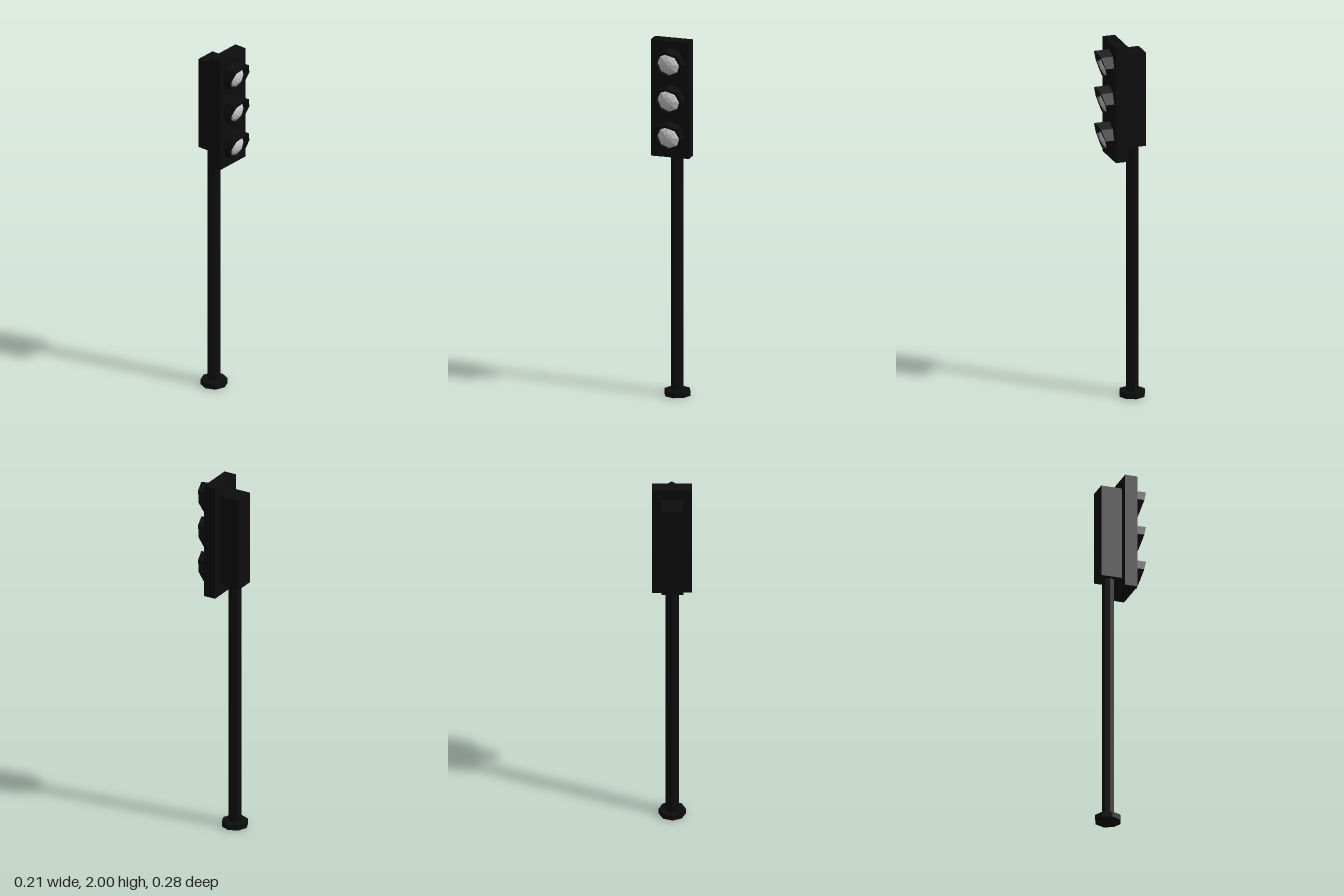
import * as THREE from 'three';

const dark = new THREE.MeshStandardMaterial({ color: 0x0d0d0d, flatShading: true });
const glass = new THREE.MeshStandardMaterial({ color: 0xcccccc, flatShading: true });

const POLE_Z = -0.069;
const LAMP_RADIUS = 0.082;
const PLATE_FRONT = 0.06;

function part(name, geometry, material, x, y, z) {
  const mesh = new THREE.Mesh(geometry, material);
  mesh.name = name;
  mesh.position.set(x, y, z);
  return mesh;
}

// Eight-sided tube whose front rim reaches furthest at the top
function hoodGeometry() {
  const inner = 0.067;
  const profile = [[LAMP_RADIUS, 0], [LAMP_RADIUS, 1], [inner, 1], [inner, 0]]
    .map(([r, h]) => new THREE.Vector2(r, h));
  const geometry = new THREE.LatheGeometry(profile, 8).rotateX(Math.PI / 2);
  const reach = [0.08, 0.065, 0.047, 0.031, 0.031]; // from top to bottom
  const p = geometry.attributes.position;
  for (let i = 0; i < p.count; i++) {
    if (p.getZ(i) < 0.5) continue;
    const angle = Math.atan2(Math.abs(p.getX(i)), p.getY(i));
    p.setZ(i, reach[Math.round(angle / (Math.PI / 4))]);
  }
  geometry.computeVertexNormals();
  return geometry;
}

// Shallow faceted dome facing forward
function lensGeometry() {
  return new THREE.SphereGeometry(0.067, 8, 4, 0, Math.PI * 2, 0, Math.PI / 2)
    .rotateX(Math.PI / 2)
    .scale(1, 1, 0.7);
}

export function createModel() {
  const model = new THREE.Group();
  model.name = 'trafficLight';

  // Foot and pole
  model.add(part('baseFoot', new THREE.CylinderGeometry(0.072, 0.072, 0.03, 8), dark, 0, 0.015, POLE_Z));
  model.add(part('pole', new THREE.CylinderGeometry(0.035, 0.035, 1.42, 8), dark, 0, 0.71, POLE_Z));

  // Signal head: rear housing and wider front plate
  model.add(part('rearHousing', new THREE.BoxGeometry(0.116, 0.525, 0.118), dark, 0, 1.6775, -0.068));
  model.add(part('frontPlate', new THREE.BoxGeometry(0.214, 0.645, 0.07), dark, 0, 1.6775, 0.025));

  // Three hooded lamps
  const hood = hoodGeometry();
  const lens = lensGeometry();
  ['top', 'middle', 'bottom'].forEach((place, i) => {
    const lamp = new THREE.Group();
    lamp.name = place + 'Lamp';
    lamp.position.set(0, 1.88 - i * 0.203, PLATE_FRONT);
    lamp.add(part('hood', hood, dark, 0, 0, 0), part('lens', lens, glass, 0, 0, 0.002));
    model.add(lamp);
  });

  return model;
}
